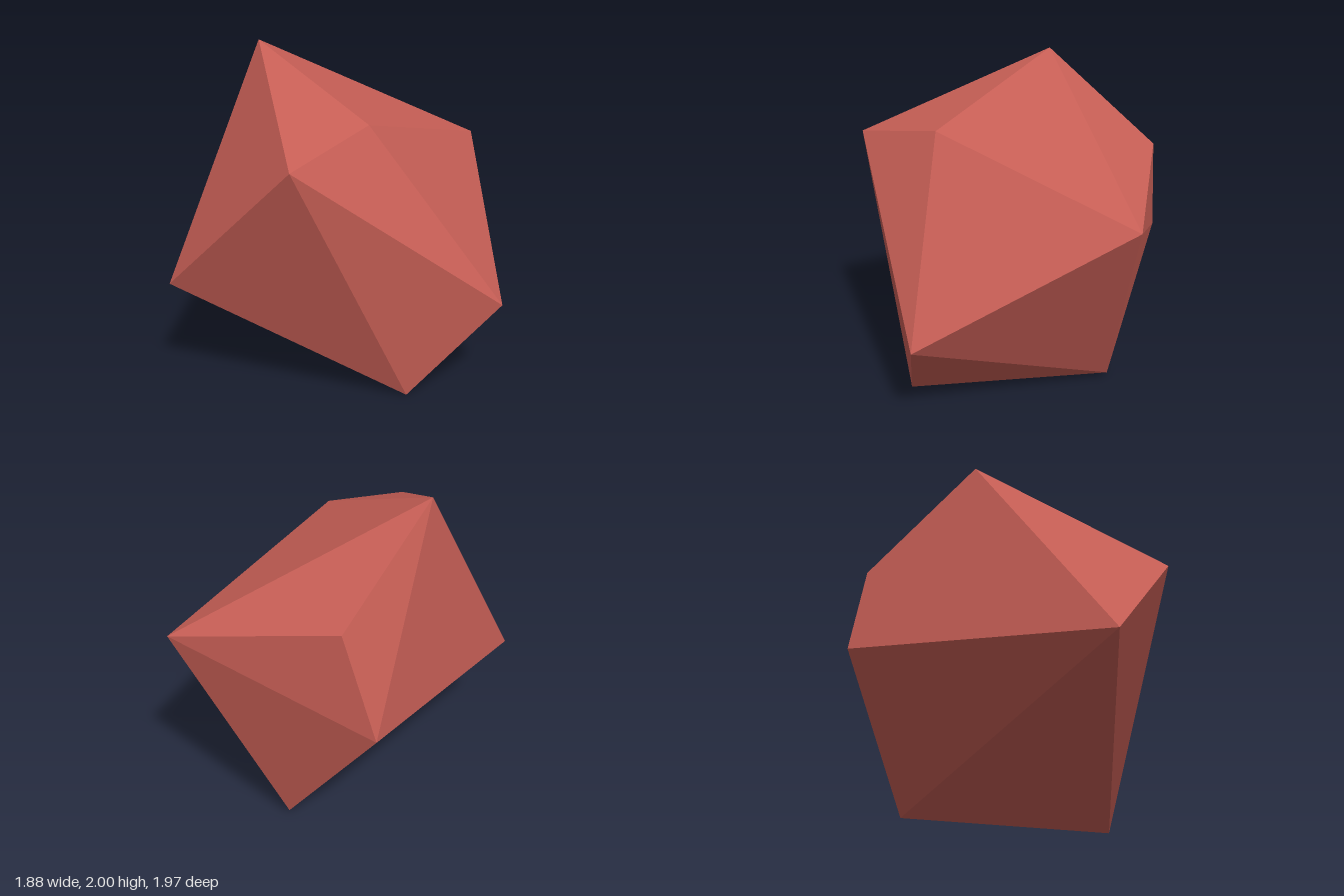
import * as THREE from 'three';
import { ConvexGeometry } from 'three/addons/geometries/ConvexGeometry.js';

export function createModel() {
  const group = new THREE.Group();
  group.name = 'rock';

  const redStone = new THREE.MeshStandardMaterial({ color: 0xc65e55 });
  redStone.name = 'red stone';

  // Corners of the faceted boulder; its flat faces are their convex hull
  const corners = [
    [-0.71, 2.0, -0.07], // peak
    [0.155, 1.635, 0.36], // upper ridge
    [-0.075, 1.51, 0.98], // upper front
    [-0.55, 1.48, -0.815], // upper back
    [0.447, 1.28, -0.985], // back right
    [-0.76, 0.86, -0.8], // back left
    [-0.94, 0.685, 0.8], // front left
    [0.935, 0.56, 0.195], // right
    [0.425, 0.0, 0.45], // front foot
    [-0.135, 0.03, -0.685], // back foot
  ].map((p) => new THREE.Vector3(...p));

  const boulder = new THREE.Mesh(new ConvexGeometry(corners), redStone);
  boulder.name = 'boulder';
  group.add(boulder);
  return group;
}
